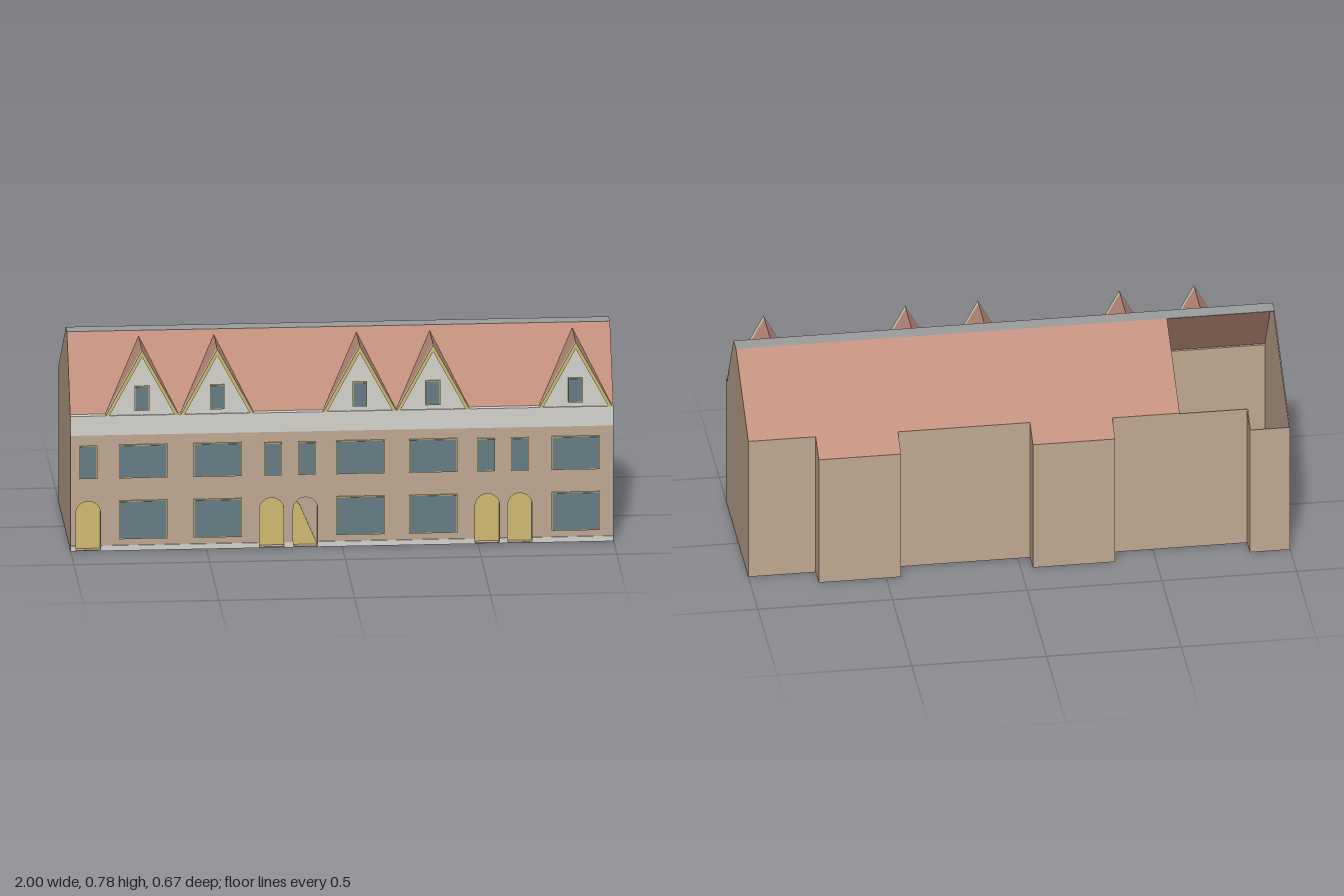
import * as THREE from 'three';

const mat = (name, color) => {
  const m = new THREE.MeshStandardMaterial({ color, side: THREE.DoubleSide });
  m.name = name;
  return m;
};

export function createModel() {
  const group = new THREE.Group();
  const M = {
    wall: mat('tan wall', 0xbfa892),
    roof: mat('terracotta roof', 0xc28f7d),
    white: mat('white render', 0xd3d2cc),
    grey: mat('grey ridge', 0x9c9e9d),
    yellow: mat('ochre paint', 0xcfbb70),
    glass: mat('blue grey glass', 0x687d85),
  };
  const add = (name, geo, m) => {
    const mesh = new THREE.Mesh(geo, m);
    mesh.name = name;
    group.add(mesh);
    return mesh;
  };
  // box from its min and max corners
  const box = (name, m, x0, x1, y0, y1, z0, z1) =>
    add(name, new THREE.BoxGeometry(x1 - x0, y1 - y0, z1 - z0)
      .translate((x0 + x1) / 2, (y0 + y1) / 2, (z0 + z1) / 2), m);
  const shapeOf = (pts) => new THREE.Shape(pts.map(([a, b]) => new THREE.Vector2(a, b)));
  // [z, y] profile swept along x
  const alongX = (name, m, pts, x0, x1) =>
    add(name, new THREE.ExtrudeGeometry(shapeOf(pts.map(([z, y]) => [-z, y])), { depth: x1 - x0, bevelEnabled: false })
      .rotateY(Math.PI / 2).translate(x0, 0, 0), m);
  // [x, y] shape swept along z
  const alongZ = (name, m, shape, z0, z1) =>
    add(name, new THREE.ExtrudeGeometry(shape, { depth: z1 - z0, bevelEnabled: false, curveSegments: 8 })
      .translate(0, 0, z0), m);

  const EAVE = 0.515, TOP = 0.78, RF = 0.125, RB = 0.065, INNER = 0.295, FRONT = 0.325;
  const backY = (z) => TOP - (RB - z) * (TOP - EAVE) / (RB + 0.335);
  const profile = (zb) => [[INNER, 0], [INNER, EAVE], [RF, TOP], [RB, TOP], [zb, backY(zb)], [zb, 0]];

  // closed houses, with stepped rear wings and rear roof
  const zones = [
    [-0.6, -0.35, -0.262], [-0.35, -0.045, -0.335], [-0.045, 0.2, -0.258],
    [0.2, 0.445, -0.258], [0.445, 0.75, -0.335], [0.75, 1, -0.255],
  ];
  for (const [x0, x1, zb] of zones) {
    alongX('houseBody', M.wall, profile(zb), x0, x1);
    alongX('rearRoof', M.roof, [[RB, TOP], [RB, TOP + 0.003], [zb, backY(zb) + 0.003], [zb, backY(zb)]], x0, x1);
  }

  // hollow end house without a rear roof
  const T = 0.004;
  alongX('endGable', M.wall, profile(-0.335), -1, -1 + T);
  box('endFloor', M.wall, -1, -0.6, 0, T, -0.262, INNER);
  box('endWingFloor', M.wall, -1, -0.85, 0, T, -0.335, -0.262);
  box('endWingRearWall', M.wall, -1, -0.85, 0, EAVE, -0.335, -0.335 + T);
  box('endRearWall', M.wall, -0.85, -0.6, 0, backY(-0.262), -0.262, -0.262 + T);
  alongX('endWingSideWall', M.wall,
    [[-0.335, 0], [-0.335, EAVE], [-0.262, backY(-0.262)], [-0.262, 0]], -0.85 - T, -0.85);
  box('endInnerWall', M.wall, -1, -0.6, 0, EAVE, INNER - T, INNER);

  // front roof and flat ridge, one length per house
  for (let i = 0; i < 5; i++) {
    const x0 = -1 + 0.4 * i, x1 = x0 + 0.4;
    alongX('frontRoof', M.roof, [[0.3, EAVE], [0.304, EAVE], [RF + 0.004, TOP + 0.002], [RF, TOP]], x0, x1);
    box('ridge', M.grey, x0, x1, TOP, TOP + 0.003, RB, RF + 0.002);
  }

  // front wall with arched door recesses
  const doors = [-0.935, -0.26, -0.135, 0.535, 0.655];
  const DW = 0.045, DH = 0.19;
  const arch = (Type, cx, w, y0, h) => {
    const s = new Type();
    s.moveTo(cx - w, y0);
    s.lineTo(cx + w, y0);
    s.lineTo(cx + w, h - w);
    s.absarc(cx, h - w, w, 0, Math.PI, false);
    s.lineTo(cx - w, y0);
    return s;
  };
  const front = shapeOf([[-1, 0], [1, 0], [1, EAVE], [-1, EAVE]]);
  for (const x of doors) front.holes.push(arch(THREE.Path, x, DW, 0.003, DH));
  alongZ('frontWall', M.wall, front, INNER, FRONT);
  doors.forEach((x, i) => {
    // the middle door is only partly covered
    const s = i === 2
      ? shapeOf([[x - DW, 0.003], [x + DW, 0.003], [x - 0.02, 0.155], [x - DW, 0.18]])
      : arch(THREE.Shape, x, DW, 0.003, DH);
    alongZ('door', M.yellow, s, INNER, INNER + 0.006);
  });

  // cornice band and plinth
  box('corniceBand', M.white, -1, 1, 0.443, EAVE + 0.002, 0.3, 0.329);
  let from = -1;
  for (const x of [...doors, 1 + DW]) {
    if (x - DW - from > 0.005) box('plinth', M.white, from, x - DW, 0, 0.02, FRONT - 0.005, 0.329);
    from = x + DW;
  }

  // windows: ochre frame with a glass face
  const windowAt = (cx, w, y0, y1, z) => {
    box('windowFrame', M.yellow, cx - w / 2 - 0.003, cx + w / 2 + 0.003, y0 - 0.003, y1 + 0.003, z, z + 0.006);
    box('windowGlass', M.glass, cx - w / 2, cx + w / 2, y0, y1, z + 0.005, z + 0.008);
  };
  for (const x of [-0.733, -0.458, 0.067, 0.335, 0.86]) {
    windowAt(x, 0.172, 0.28, 0.402, FRONT);
    windowAt(x, 0.172, 0.047, 0.188, FRONT);
  }
  for (const x of [-0.935, -0.255, -0.13, 0.53, 0.655]) windowAt(x, 0.06, 0.28, 0.4, FRONT);

  // dormers
  const HW = 0.135, PEAK = 0.765;
  for (const x of [-0.737, -0.46, 0.065, 0.335, 0.86]) {
    const zBack = RF + 0.004 + (TOP - PEAK) * 0.66;
    const A = [x, PEAK, 0.308], B = [x, PEAK, zBack];
    const L = [x - HW, EAVE, 0.308], R = [x + HW, EAVE, 0.308];
    const g = new THREE.BufferGeometry();
    g.setAttribute('position', new THREE.Float32BufferAttribute([L, A, B, A, R, B].flat(), 3));
    g.computeVertexNormals();
    add('dormerRoof', g, M.roof);
    alongZ('dormerGable', M.white, shapeOf([[x - HW, EAVE], [x + HW, EAVE], [x, PEAK]]), 0.306, 0.323);
    for (const s of [-1, 1]) {
      alongZ('dormerTrim', M.yellow, shapeOf([
        [x + s * HW, EAVE], [x, PEAK], [x, PEAK - 0.026], [x + s * (HW - 0.014), EAVE],
      ]), 0.323, 0.329);
    }
    windowAt(x, 0.048, 0.537, 0.625, 0.323);
  }
  return group;
}
